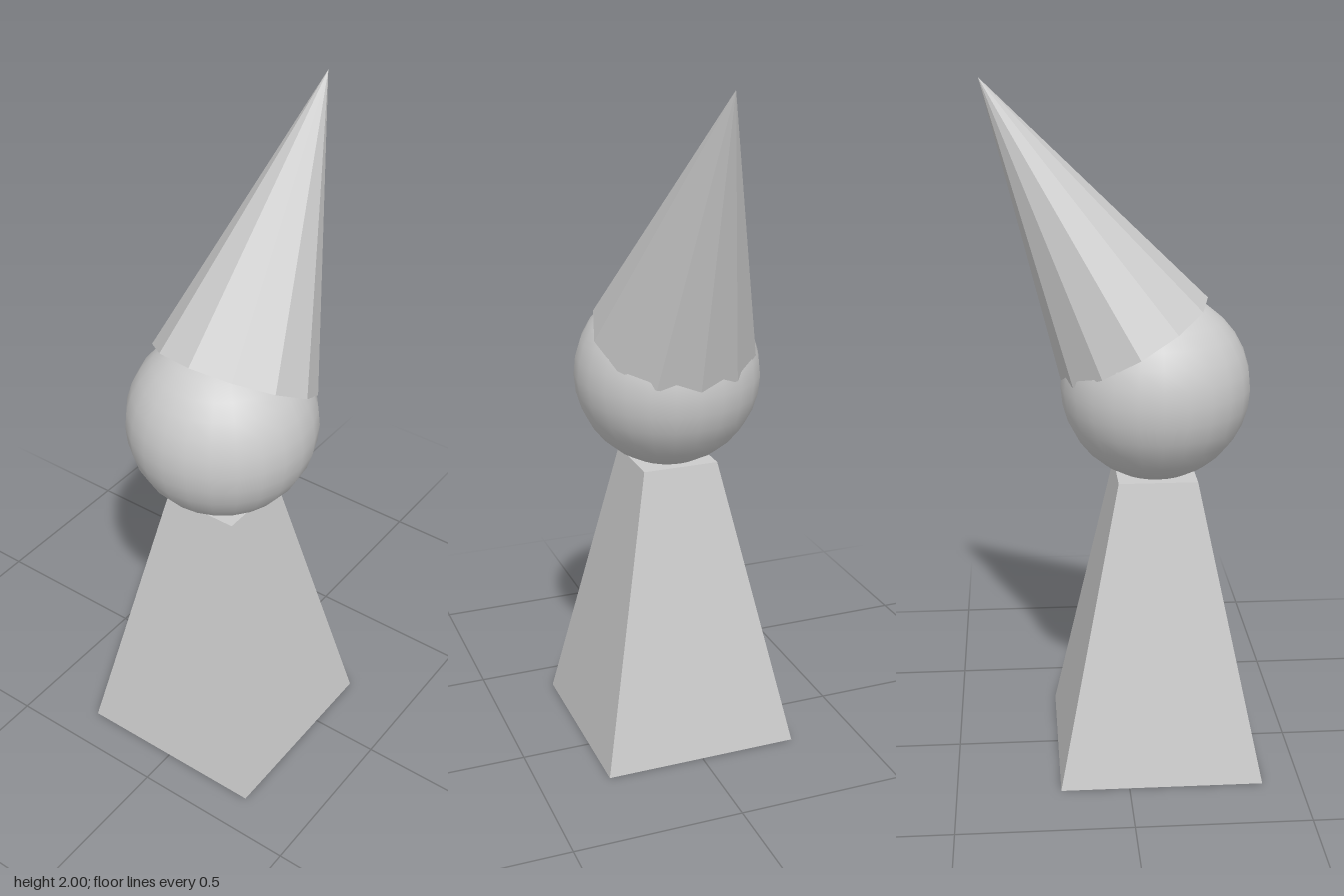
import * as THREE from 'three';

const CENTER_Z = 0.095;

export function createModel() {
  const group = new THREE.Group();
  const smooth = new THREE.MeshStandardMaterial({ color: 0xcccccc });
  const flat = new THREE.MeshStandardMaterial({ color: 0xcccccc, flatShading: true });

  const add = (name, geometry, material, y, z) => {
    const mesh = new THREE.Mesh(geometry, material);
    mesh.name = name;
    mesh.position.set(0, y, z);
    group.add(mesh);
    return mesh;
  };

  // Body: square tapered block, its sides facing the axes
  const bodyHeight = 0.875;
  const body = new THREE.CylinderGeometry(0.114 * Math.SQRT2, 0.294 * Math.SQRT2, bodyHeight, 4);
  body.rotateY(Math.PI / 4);
  add('body', body, flat, bodyHeight / 2, CENTER_Z);

  // Head: smooth ball resting on the body
  add('head', new THREE.SphereGeometry(0.273, 24, 16), smooth, 1.135, CENTER_Z);

  // Hat: twelve-sided cone tilted backwards, pivoting at its base
  const hatHeight = 0.845;
  const hat = new THREE.ConeGeometry(0.241, hatHeight, 12);
  hat.translate(0, hatHeight / 2, 0);
  add('hat', hat, flat, 1.268, 0.034).rotation.x = -Math.PI / 6;

  return group;
}
